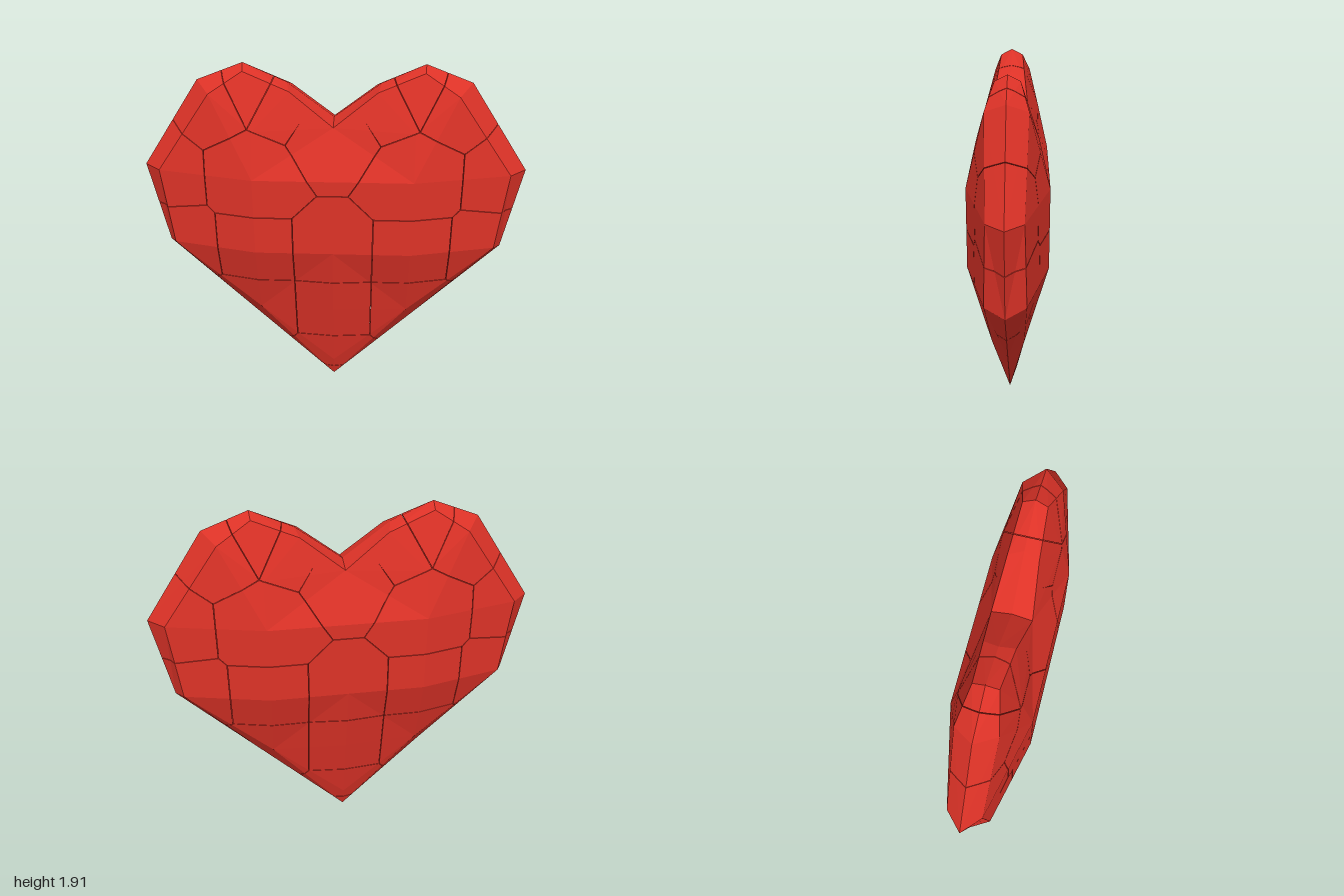
import * as THREE from 'three';

// Facet corners of the front right quarter: [x, y, z]
const P = {
  // outer edge of the heart
  o0: [0, 1.635, 0], o1: [0.24, 1.815, 0], o2: [0.455, 1.91, 0], o3: [0.69, 1.82, 0],
  o4: [1, 1.36, 0], o5: [0.91, 0.91, 0], om: [0.455, 0.455, 0], o6: [0, 0, 0],
  // bevel ring
  i0: [0, 1.61, 0.1], i1: [0.22, 1.785, 0.075], i2: [0.45, 1.88, 0.06], i3: [0.62, 1.775, 0.1],
  i4: [0.91, 1.36, 0.085], i5: [0.86, 0.945, 0.097], i6: [0.41, 0.53, 0.085], i7: [0, 0.13, 0.04],
  // raised middle
  c0: [0, 1.36, 0.205], c1: [0.41, 1.36, 0.205], c2: [0.41, 0.945, 0.205],
  c3: [0, 0.945, 0.205], c4: [0, 0.54, 0.125], c5: [0.41, 1.6, 0.15],
};

const FACETS = [
  'c3 c2 c1 c0', 'c2 i5 i4 c1', 'c3 c4 i6 c2', 'c2 i6 i5', 'c4 i7 i6',
  'c0 c1 i0', 'c1 c5 i0', 'i0 c5 i1', 'c5 i2 i1', 'c5 i3 i2', 'c1 i4 i3 c5',
  'i0 i1 o1 o0', 'i1 i2 o2 o1', 'i2 i3 o3 o2', 'i3 i4 o4 o3', 'i4 i5 o5 o4',
  'i5 i6 om o5', 'i6 i7 o6 om',
];

// Shard outlines on the right side, mirrored to the left
const SIDE_SHARDS = {
  middleShard: [[0.21, 0.74], [0.62, 0.74], [0.62, 1.15], [0.21, 1.15]],
  lobeShard: [[0.21, 1.15], [0.62, 1.15], [0.66, 1.19], [0.66, 1.49], [0.43, 1.61], [0.24, 1.53], [0.08, 1.28]],
  lowerSideShard: [[0.62, 0.74], [0.75, 0.61], [1.1, 0.9], [1.1, 1.11], [0.66, 1.19], [0.62, 1.15]],
  upperSideShard: [[0.66, 1.19], [1.1, 1.11], [1.1, 1.79], [0.66, 1.49]],
  shoulderShard: [[0.66, 1.49], [1.1, 1.79], [0.8, 2], [0.63, 2], [0.43, 1.61]],
  crownShard: [[0.43, 1.61], [0.63, 2], [0.21, 2]],
  innerLobeShard: [[0.24, 1.53], [0.43, 1.61], [0.21, 2], [0, 2], [0, 1.87]],
  lowerShard: [[0.21, 0.33], [0.3, 0.2], [0.75, 0.61], [0.62, 0.74], [0.21, 0.74]],
};

// Right halves of the shards on the centre line, completed by mirroring
const CENTRE_SHARDS = {
  notchShard: [[0.08, 1.28], [0.24, 1.53], [0.01, 1.87]],
  centreShard: [[0.21, 0.74], [0.21, 1.15], [0.08, 1.28]],
  lowerCentreShard: [[0.21, 0.33], [0.21, 0.74]],
  bottomShard: [[0.15, 0.065], [0.3, 0.2], [0.21, 0.33]],
  tipShard: [[0.15, -0.1], [0.15, 0.065]],
};

const GAP = 0.0015;
const mirror = (pts) => pts.map(([x, ...rest]) => [-x, ...rest]).reverse();

// All facets of the front face as triangles, counter-clockwise
function frontTriangles() {
  const tris = [];
  for (const facet of FACETS) {
    const p = facet.split(' ').map((k) => P[k]);
    for (let i = 1; i < p.length - 1; i++) {
      let t = [p[0], p[i], p[i + 1]];
      const [a, b, c] = t;
      if ((b[0] - a[0]) * (c[1] - a[1]) - (b[1] - a[1]) * (c[0] - a[0]) < 0) t = [a, c, b];
      tris.push(t, mirror(t));
    }
  }
  return tris;
}

// Inward half-planes of a convex outline, shrunk by the gap
function halfPlanes(cell) {
  return cell.map(([x, y], i) => {
    const [x2, y2] = cell[(i + 1) % cell.length];
    const len = Math.hypot(x2 - x, y2 - y);
    const nx = (y - y2) / len, ny = (x2 - x) / len;
    return (p) => (p[0] - x) * nx + (p[1] - y) * ny - GAP;
  });
}

function clip(poly, dist) {
  const out = [];
  poly.forEach((a, i) => {
    const b = poly[(i + 1) % poly.length];
    const da = dist(a), db = dist(b);
    if (da >= 0) out.push(a);
    if (da * db < 0) out.push(a.map((v, k) => v + (b[k] - v) * da / (da - db)));
  });
  return out;
}

// One shard: front and back facets with walls along its cuts
function shardGeometry(cell, tris) {
  const planes = halfPlanes(cell);
  const pos = [];
  const tri = (...pts) => pts.forEach((p) => pos.push(...p));
  const back = ([x, y, z]) => [x, y, -z];
  for (const t of tris) {
    const poly = planes.reduce(clip, t);
    for (let i = 1; i < poly.length - 1; i++) {
      const [a, b, c] = [poly[0], poly[i], poly[i + 1]];
      tri(a, b, c);
      tri(back(a), back(c), back(b));
    }
    poly.forEach((p, i) => {
      const q = poly[(i + 1) % poly.length];
      if (planes.some((d) => Math.abs(d(p)) < 1e-7 && Math.abs(d(q)) < 1e-7)) {
        tri(p, back(p), back(q));
        tri(p, back(q), q);
      }
    });
  }
  const geo = new THREE.BufferGeometry();
  geo.setAttribute('position', new THREE.Float32BufferAttribute(pos, 3));
  geo.computeVertexNormals();
  return geo;
}

export function createModel() {
  const heart = new THREE.Group();
  heart.name = 'heart';
  const red = new THREE.MeshStandardMaterial({ color: 0xdd3227, flatShading: true });
  const tris = frontTriangles();
  const add = (name, cell) => {
    const mesh = new THREE.Mesh(shardGeometry(cell, tris), red);
    mesh.name = name;
    heart.add(mesh);
  };
  for (const [name, cell] of Object.entries(SIDE_SHARDS)) {
    add(name + 'Left', cell);
    add(name + 'Right', mirror(cell));
  }
  for (const [name, half] of Object.entries(CENTRE_SHARDS)) add(name, [...half, ...mirror(half)]);
  return heart;
}
